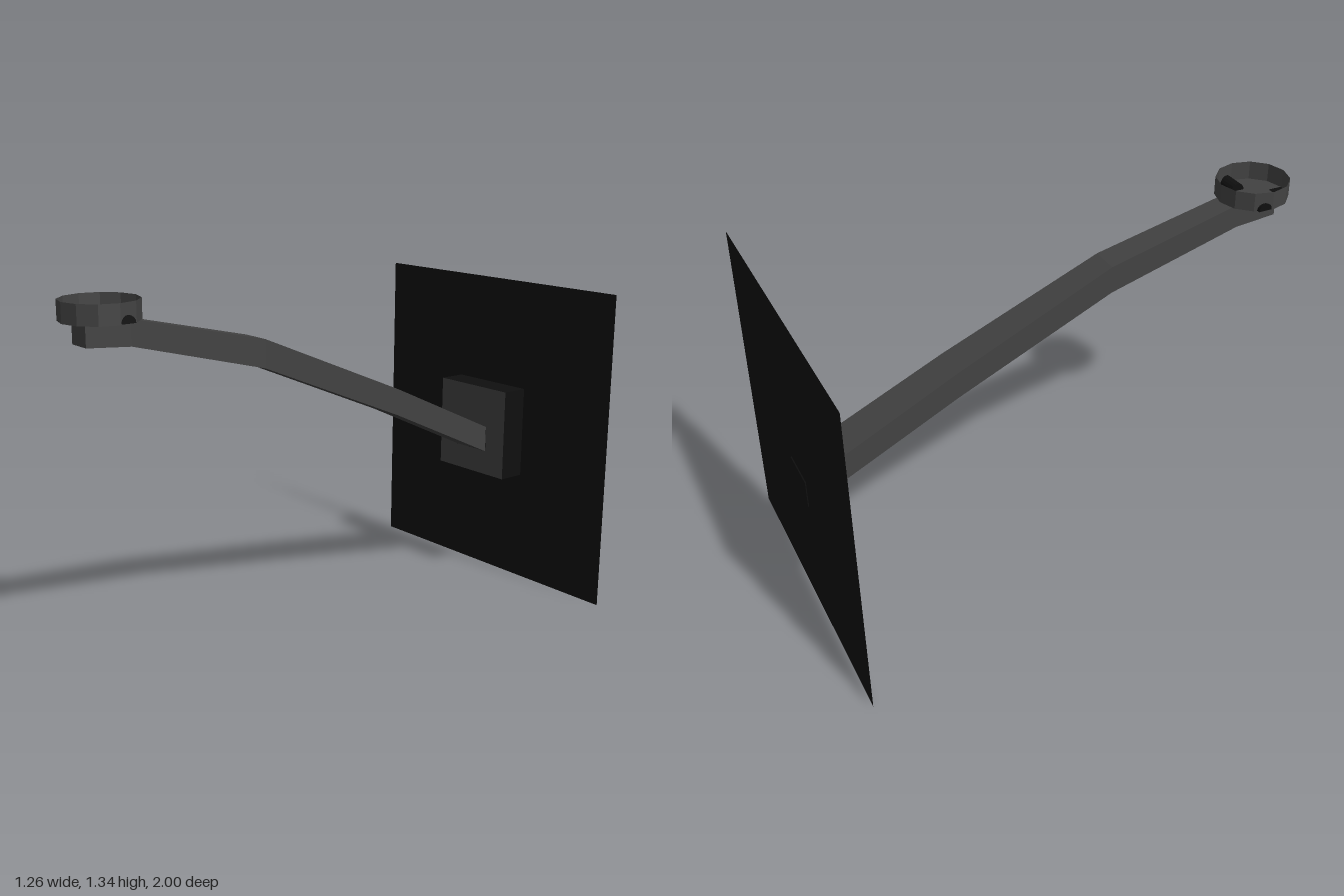
import * as THREE from 'three';

export function createModel() {
  const model = new THREE.Group();
  const grey = new THREE.MeshStandardMaterial({ name: 'dark grey', color: 0x424242, side: THREE.DoubleSide, flatShading: true });
  const black = new THREE.MeshStandardMaterial({ name: 'black', color: 0x0f0f0f, side: THREE.DoubleSide, flatShading: true });

  const add = (name, geometry, material, x = 0, y = 0, z = 0, parent = model) => {
    const mesh = new THREE.Mesh(geometry, material);
    mesh.name = name;
    mesh.position.set(x, y, z);
    parent.add(mesh);
    return mesh;
  };

  // Square wall panel
  add('wallPanel', new THREE.PlaneGeometry(1.256, 1.256), black, 0, 0.628, -0.996);

  // Mounting block: black sides, grey front face
  add('mountingBlock', new THREE.BoxGeometry(0.368, 0.37, 0.11),
    [black, black, black, black, grey, black], 0, 0.63, -0.94);

  // Bent tapering arm, from rectangular sections: z, bottom, top, half width
  const sections = [
    [-1.0, 0.49, 0.6, 0.083],
    [-0.884, 0.545, 0.65, 0.082],
    [-0.4, 0.77, 0.875, 0.073],
    [0.23, 1.035, 1.142, 0.059],
    [0.77, 1.175, 1.268, 0.049],
    [0.94, 1.188, 1.27, 0.047],
  ];
  const loft = (rows) => {
    const points = rows.flatMap(([z, bottom, top, w]) =>
      [-w, bottom, z, w, bottom, z, w, top, z, -w, top, z]);
    const index = [0, 2, 1, 0, 3, 2];
    for (let i = 0; i < rows.length - 1; i++) {
      for (let j = 0; j < 4; j++) {
        const a = i * 4 + j, b = i * 4 + (j + 1) % 4;
        index.push(a, b, b + 4, a, b + 4, a + 4);
      }
    }
    const e = (rows.length - 1) * 4;
    index.push(e, e + 1, e + 2, e, e + 2, e + 3);
    const geometry = new THREE.BufferGeometry();
    geometry.setAttribute('position', new THREE.Float32BufferAttribute(points, 3));
    geometry.setIndex(index);
    const flat = geometry.toNonIndexed();
    flat.computeVertexNormals();
    return flat;
  };
  add('arm', loft(sections.slice(1)), grey);
  add('armRoot', loft(sections.slice(0, 2)), black);

  // Shallow open cup at the tip
  const cup = new THREE.Group();
  cup.name = 'cup';
  cup.position.set(0, 1.268, 0.86);
  model.add(cup);
  add('cupWall', new THREE.CylinderGeometry(0.14, 0.14, 0.072, 12, 1, true), grey, 0, 0.036, 0, cup);
  const floor = new THREE.CircleGeometry(0.139, 12);
  floor.rotateX(-Math.PI / 2);
  add('cupFloor', floor, grey, 0, 0.001, 0, cup);

  // Low black ridges either side of the arm tip, showing through the wall
  for (const side of [-1, 1]) {
    const ridge = new THREE.CylinderGeometry(0.028, 0.028, 0.09, 8, 1, false, 0, Math.PI);
    ridge.rotateZ(Math.PI / 2);
    add('cupRidge', ridge, black, side * 0.094, 0.002, -0.03, cup);
  }
  // Black patch on the cup floor in front of the arm
  const patch = new THREE.PlaneGeometry(0.046, 0.055);
  patch.rotateX(-Math.PI / 2);
  add('cupFloorPatch', patch, black, -0.024, 0.004, 0.107, cup);

  return model;
}
